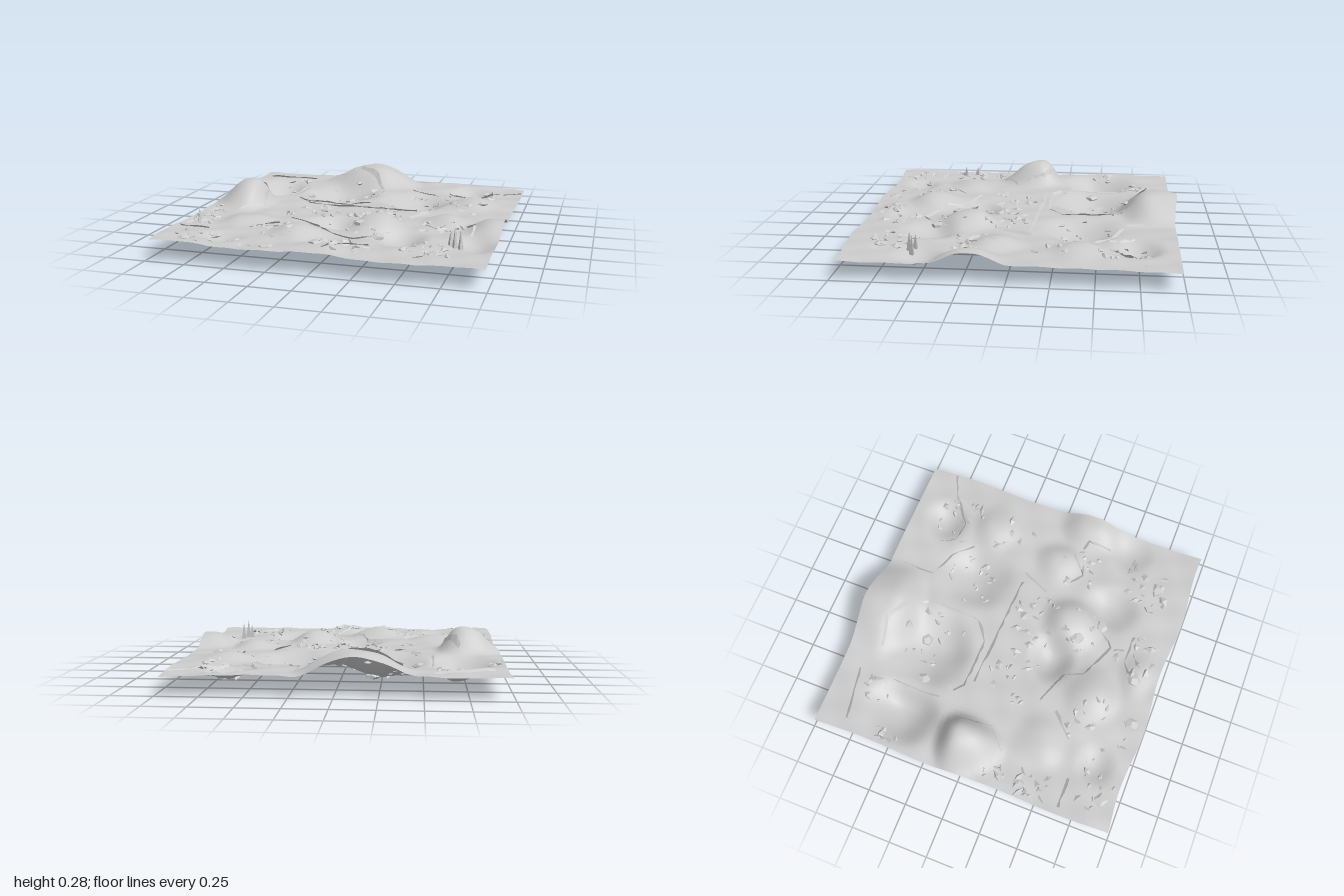
import * as THREE from 'three';
import { mergeGeometries } from 'three/addons/utils/BufferGeometryUtils.js';

let seed = 7;
const rand = () => {
  seed = (seed * 16807) % 2147483647;
  return seed / 2147483647;
};

// Hills and hollows: x, z, height, reach towards -x, +x, -z, +z
const mounds = [
  [-0.74, -0.08, 0.155, 0.28, 0.16, 0.16, 0.32],
  [-0.1, -0.83, 0.13, 0.4, 0.36, 0.5, 0.22],
  [0.22, 0.3, 0.08, 0.22, 0.2, 0.2, 0.24],
  [-0.18, 0.6, 0.06, 0.23, 0.22, 0.2, 0.2],
  [0.62, 0.1, 0.05, 0.2, 0.16, 0.2, 0.18],
  [0.93, 0.2, 0.07, 0.22, 0.4, 0.22, 0.26],
  [0.7, -0.4, 0.04, 0.2, 0.2, 0.18, 0.18],
  [0.05, 0.84, 0.03, 0.2, 0.2, 0.13, 0.13],
  [-0.6, 0.4, 0.035, 0.2, 0.2, 0.2, 0.2],
  [-0.7, -0.47, -0.11, 0.28, 0.18, 0.3, 0.25],
  [-0.24, -0.46, -0.09, 0.33, 0.28, 0.28, 0.28],
  [0.33, -0.4, -0.07, 0.28, 0.24, 0.26, 0.28],
  [-0.05, 0.27, -0.085, 0.2, 0.18, 0.16, 0.18],
  [0.62, -0.74, -0.06, 0.17, 0.18, 0.17, 0.16],
  [0.85, 0.52, -0.04, 0.17, 0.16, 0.17, 0.17],
  [-0.6, 0.78, -0.035, 0.15, 0.15, 0.14, 0.14],
  [0.42, 0.53, -0.06, 0.18, 0.18, 0.2, 0.2],
];

function heightAt(x, z) {
  let y = 0.121 - 0.006 * x + 0.007 * Math.sin(7 * x + 2 * z) * Math.cos(6 * z - x);
  y += 0.004 * Math.sin(23 * x + 9 * z) * Math.sin(19 * z - 8 * x);
  for (const [mx, mz, h, xn, xp, zn, zp] of mounds) {
    const dx = (x - mx) / (x < mx ? xn : xp);
    const dz = (z - mz) / (z < mz ? zn : zp);
    const d = Math.hypot(dx, dz);
    if (d < 1) y += h * (0.5 + 0.5 * Math.cos(Math.PI * d ** 1.25));
  }
  return y;
}

// Broken ledges across the ground, as x, z paths
const ledges = [
  [[-0.55, -0.62], [-0.55, -0.3]],
  [[-0.48, -0.24], [-0.42, -0.19], [-0.1, -0.18], [0.02, -0.27], [0.03, -0.6]],
  [[0.02, -0.62], [-0.06, -0.72], [-0.2, -0.8], [-0.38, -0.77]],
  [[0.23, -0.9], [0.23, -0.68], [0.4, -0.62], [0.52, -0.5]],
  [[-0.72, -0.2], [-0.65, -0.1], [-0.61, 0.08], [-0.74, 0.2]],
  [[-0.38, -0.14], [0.38, -0.1]],
  [[0.46, -0.1], [0.38, 0.08]],
  [[-0.34, 0.3], [-0.12, 0.38], [-0.08, 0.5], [0.16, 0.6], [0.32, 0.43]],
  [[-0.52, 0.56], [-0.38, 0.42]],
  [[0.47, -0.73], [0.52, -0.64], [0.65, -0.62], [0.8, -0.74], [0.97, -0.82]],
  [[0.5, 0.2], [0.58, 0.26], [0.69, 0.15]],
  [[0.76, 0.2], [0.82, 0.22], [0.82, 0.38]],
  [[-0.94, 0.64], [-0.75, 0.64]],
  [[-0.9, -0.8], [-0.56, -0.86]],
  [[0.02, 0.76], [0.1, 0.72], [0.28, 0.72]],
];

// Jagged slanting strip of rock face following a path
function ledgeStrip(path) {
  const points = [];
  for (let i = 1; i < path.length; i++) {
    const [ax, az] = path[i - 1], [bx, bz] = path[i];
    const length = Math.hypot(bx - ax, bz - az), steps = Math.ceil(length / 0.05);
    const nx = -(bz - az) / length, nz = (bx - ax) / length;
    for (let k = i === 1 ? 0 : 1; k <= steps; k++) {
      const t = k / steps, x = ax + (bx - ax) * t, z = az + (bz - az) * t;
      const top = 0.004 + rand() * 0.016, low = 0.008 + rand() * 0.018;
      for (const side of [top, -low]) {
        const px = x + nx * side, pz = z + nz * side;
        points.push(px, heightAt(px, pz) + side * 0.8, pz);
      }
    }
  }
  const index = [];
  for (let i = 0; i < points.length / 3 - 2; i += 2) index.push(i, i + 1, i + 2, i + 1, i + 3, i + 2);
  const g = new THREE.BufferGeometry();
  g.setAttribute('position', new THREE.Float32BufferAttribute(points, 3));
  g.setIndex(index);
  g.computeVertexNormals();
  return g;
}

// Loose rock clusters: x, z, spread, count
const clusters = [
  [-0.88, 0.45, 0.12, 14], [-0.9, -0.5, 0.1, 9], [-0.65, -0.68, 0.1, 8],
  [-0.2, -0.5, 0.22, 16], [0.28, -0.4, 0.2, 16], [0.65, -0.62, 0.2, 16],
  [0.65, -0.25, 0.15, 8], [-0.25, 0.1, 0.18, 18], [0.15, 0.1, 0.18, 22],
  [0.6, 0.25, 0.15, 12], [0.2, 0.4, 0.15, 9], [0.62, 0.74, 0.16, 18],
  [0.15, 0.78, 0.15, 16], [-0.4, 0.72, 0.2, 18], [-0.75, 0.82, 0.14, 12],
  [-0.9, 0.2, 0.08, 6],
];

// Tilted angular rock half sunk in the ground
function rock(x, z, size) {
  const g = rand() < 0.4 ? new THREE.OctahedronGeometry(1, 0) : new THREE.TetrahedronGeometry(1, 0);
  g.scale(size * (0.8 + rand() * 0.6), size * 0.5, size * (0.4 + rand() * 0.5));
  g.rotateX((rand() - 0.5) * 0.9);
  g.rotateY(rand() * Math.PI * 2);
  return g.translate(x, heightAt(x, z), z);
}

export function createModel() {
  const group = new THREE.Group();
  const add = (name, geometry, flatShading) => {
    const mesh = new THREE.Mesh(geometry, new THREE.MeshStandardMaterial({
      color: 0xcccccc, flatShading, side: THREE.DoubleSide,
    }));
    mesh.name = name;
    group.add(mesh);
  };

  // Rolling ground sheet with gently wavy borders
  const ground = new THREE.PlaneGeometry(1.96, 1.96, 64, 64).rotateX(-Math.PI / 2);
  const p = ground.attributes.position;
  for (let i = 0; i < p.count; i++) {
    const x = p.getX(i), z = p.getZ(i);
    const back = Math.max(0, -z) ** 4, front = Math.max(0, z) ** 4;
    const dz = -0.026 * back * Math.exp(-(((x + 0.1) / 0.17) ** 2)) + 0.014 * front * Math.sin(8 * x - 2.2);
    p.setXYZ(i, x + 0.006 * Math.sin(7 * z), heightAt(x, z), z + dz);
  }
  ground.computeVertexNormals();
  add('ground', ground, false);

  add('ledges', mergeGeometries(ledges.map(ledgeStrip)), true);

  // Loose rocks in clusters
  const looseRocks = [];
  for (const [cx, cz, spread, count] of clusters) {
    for (let i = 0; i < count; i++) {
      const a = rand() * Math.PI * 2, r = spread * Math.sqrt(rand());
      const x = THREE.MathUtils.clamp(cx + r * Math.cos(a), -0.94, 0.94);
      looseRocks.push(rock(x, cz + r * Math.sin(a), 0.018 + rand() * 0.022));
    }
  }
  add('looseRocks', mergeGeometries(looseRocks), true);

  // A few larger boulders
  const boulders = [[-0.48, -0.45], [0.13, 0.38], [-0.28, 0.9], [0, 0.82], [-0.2, -0.55], [-0.8, 0.88], [0.27, 0.5], [0.67, 0.77]];
  add('boulders', mergeGeometries(boulders.map(([x, z]) => new THREE.DodecahedronGeometry(0.05, 0)
    .scale(0.9, 0.4, 1).rotateY(rand() * 6).translate(x, heightAt(x, z) - 0.005, z))), true);

  // Thin spikes above and below the ground: x, z, tip height
  const spikes = [
    [0.72, 0.55, 0.2], [0.75, 0.58, 0.225], [0.78, 0.56, 0.21], [-0.88, 0.5, 0.19], [-0.92, 0.42, 0.18],
    [0.49, -0.27, 0], [-0.47, -0.26, 0.015], [-0.96, 0.3, 0.07], [-0.95, 0.25, 0.065],
  ].map(([x, z, tip]) => {
    const y = heightAt(x, z), h = tip - y;
    const g = new THREE.ConeGeometry(0.02, Math.abs(h), 3);
    if (h < 0) g.rotateX(Math.PI);
    return g.translate(x, y + h / 2, z);
  });
  add('spikes', mergeGeometries(spikes), true);

  return group;
}
